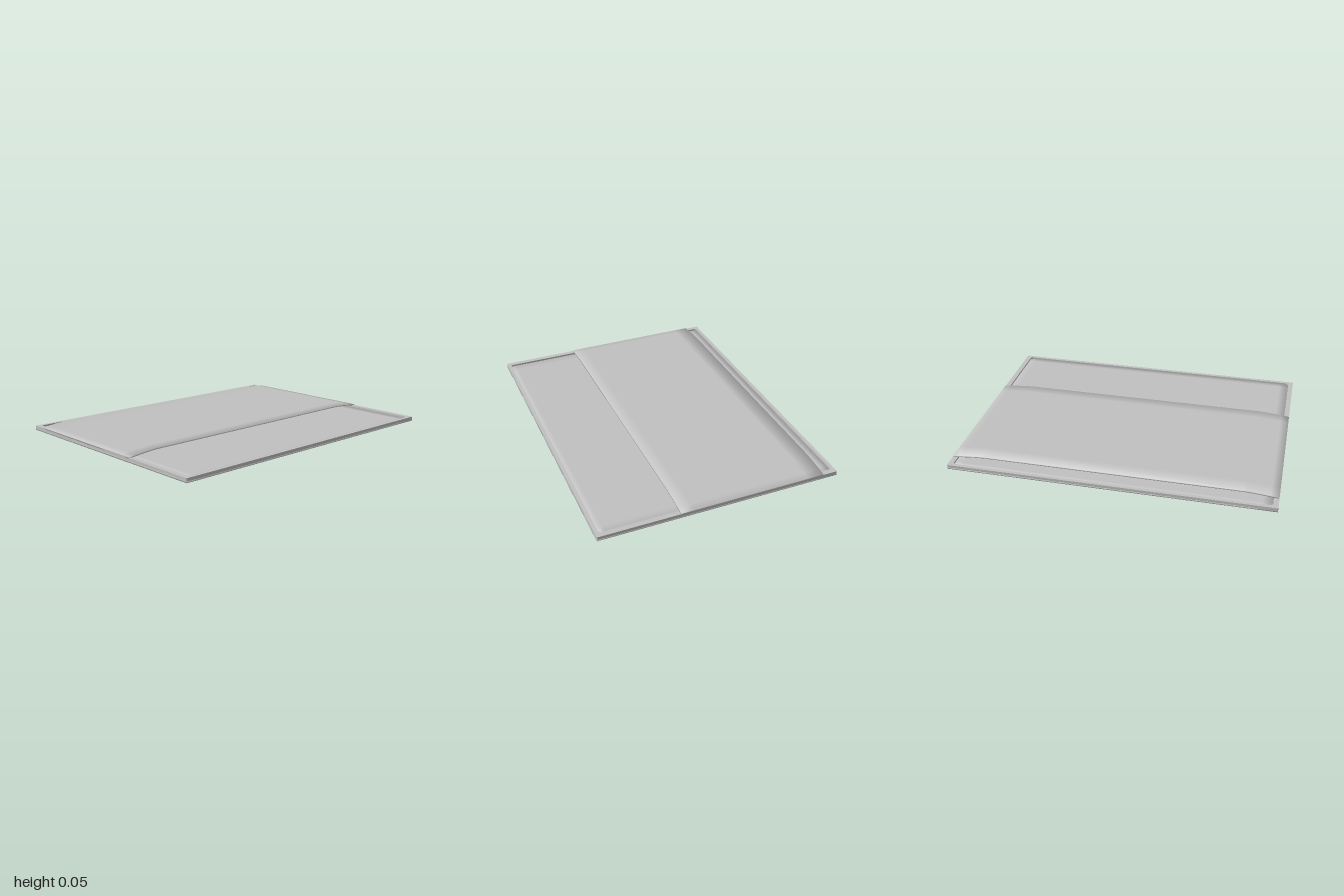
import * as THREE from 'three';

const grey = new THREE.MeshStandardMaterial({ color: 0xc0c0c0 });
grey.name = 'plain grey';

// Closed thin panel: top and bottom skins on an x/z grid, joined round the edge.
// Normals lean outwards at the border, so the edges shade softly.
function panel(name, xs, zs, top, bottom) {
  const pos = [], nor = [], idx = [];
  const nx = xs.length, nz = zs.length;
  const lean = (k, n) => (k === 0 ? -1 : k === n - 1 ? 1 : 0);
  for (const up of [1, -1]) {
    xs.forEach((x, i) => zs.forEach((z, j) => {
      pos.push(x, up > 0 ? top(x) : bottom(x), z);
      const n = new THREE.Vector3(lean(i, nx) * 0.8, up, lean(j, nz) * 0.8).normalize();
      nor.push(n.x, n.y, n.z);
    }));
  }
  const at = (side, i, j) => side * nx * nz + i * nz + j;
  const quad = (a, b, c, d) => idx.push(a, b, c, a, c, d);
  for (let i = 0; i < nx - 1; i++) {
    for (let j = 0; j < nz - 1; j++) {
      quad(at(0, i, j), at(0, i, j + 1), at(0, i + 1, j + 1), at(0, i + 1, j));
      quad(at(1, i, j), at(1, i + 1, j), at(1, i + 1, j + 1), at(1, i, j + 1));
    }
    // front and back edges
    const f = nz - 1;
    quad(at(1, i, f), at(1, i + 1, f), at(0, i + 1, f), at(0, i, f));
    quad(at(0, i, 0), at(0, i + 1, 0), at(1, i + 1, 0), at(1, i, 0));
  }
  for (let j = 0; j < nz - 1; j++) {
    // right and left edges
    const r = nx - 1;
    quad(at(0, r, j), at(0, r, j + 1), at(1, r, j + 1), at(1, r, j));
    quad(at(1, 0, j), at(1, 0, j + 1), at(0, 0, j + 1), at(0, 0, j));
  }
  const g = new THREE.BufferGeometry();
  g.setAttribute('position', new THREE.Float32BufferAttribute(pos, 3));
  g.setAttribute('normal', new THREE.Float32BufferAttribute(nor, 3));
  g.setIndex(idx);
  const mesh = new THREE.Mesh(g, grey);
  mesh.name = name;
  return mesh;
}

// Rectangle outline with small cut corners
function outline(target, w, d, c) {
  target.moveTo(-w + c, -d);
  target.lineTo(w - c, -d);
  target.lineTo(w, -d + c);
  target.lineTo(w, d - c);
  target.lineTo(w - c, d);
  target.lineTo(-w + c, d);
  target.lineTo(-w, d - c);
  target.lineTo(-w, -d + c);
  target.closePath();
  return target;
}

// Height of the arched sleeve: flat in the middle, bowing down to the sides
function arch(x) {
  const t = Math.max(0, (Math.abs(x) - 0.8) / 0.2);
  return 0.05 - 0.009 * t - 0.009 * t * t;
}

export function createModel() {
  const model = new THREE.Group();
  model.name = 'sleevedTray';

  // Tray: base plate, recessed floor and raised rim
  model.add(panel('trayBase', [-1, -0.85, 0.85, 1], [-0.76, -0.62, 0.62, 0.76],
    () => 0.01, () => 0));
  model.add(panel('trayFloor', [-0.968, -0.91, 0.91, 0.968], [-0.74, -0.7, 0.7, 0.735],
    () => 0.016, () => 0.005));

  const rimShape = outline(new THREE.Shape(), 1, 0.76, 0.004);
  rimShape.holes.push(outline(new THREE.Path(), 0.968, 0.738, 0.012));
  const rimGeo = new THREE.ExtrudeGeometry(rimShape, { depth: 0.018, bevelEnabled: false });
  rimGeo.rotateX(-Math.PI / 2).translate(0, 0.009, 0);
  const rim = new THREE.Mesh(rimGeo, grey);
  rim.name = 'trayRim';
  model.add(rim);

  // Arched sleeve across the tray, open underneath
  const half = [0.8, 0.85, 0.9, 0.95, 1];
  const xs = [...half.map((x) => -x).reverse(), ...half];
  model.add(panel('sleeve', xs, [-0.665, -0.56, 0.18, 0.26],
    arch, (x) => arch(x) - 0.008));

  return model;
}
